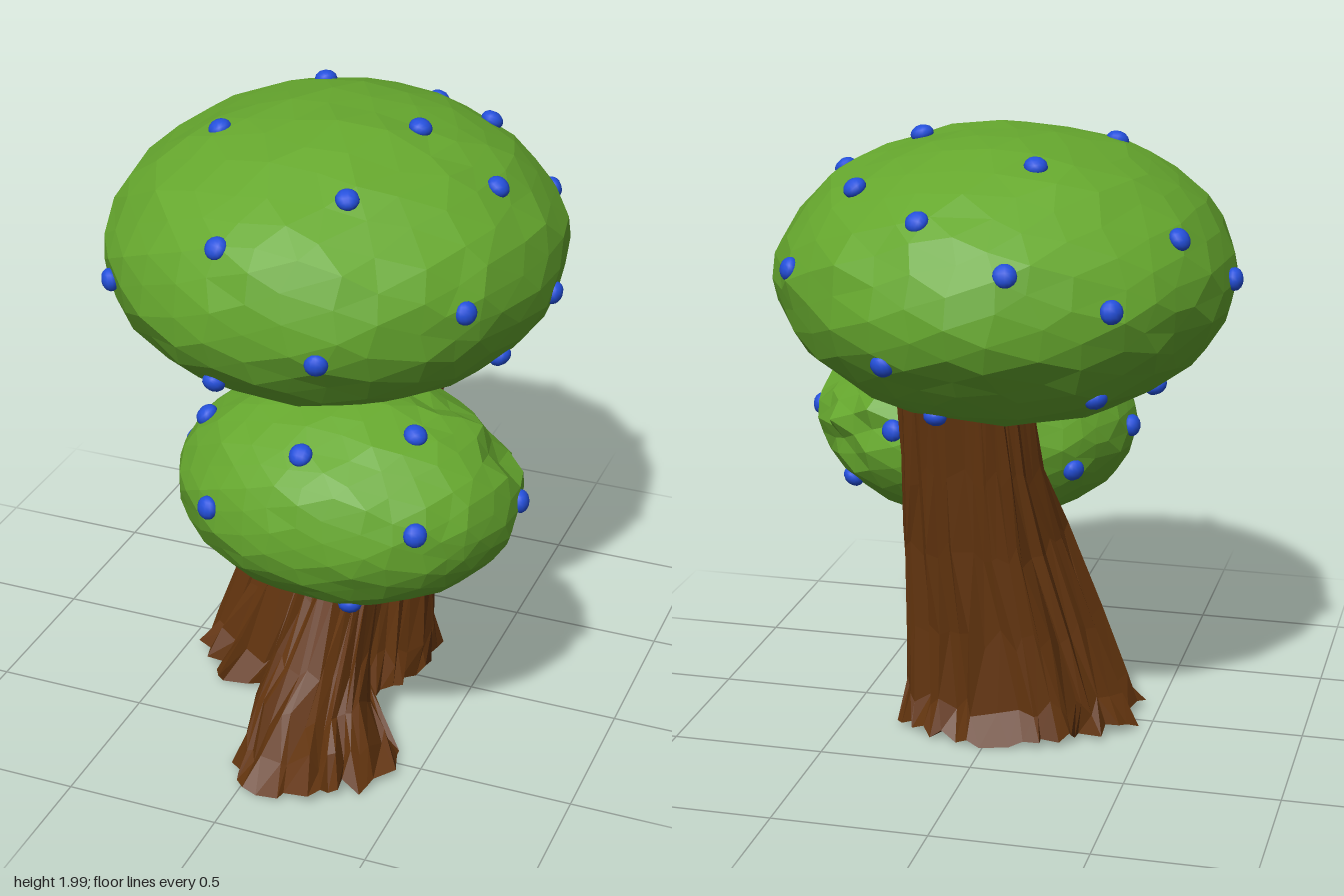
import * as THREE from 'three';

const leaf = new THREE.MeshStandardMaterial({ name: 'leafGreen', color: 0x66a82e, flatShading: true });
const bark = new THREE.MeshStandardMaterial({ name: 'barkBrown', color: 0x62340e, flatShading: true });
const berry = new THREE.MeshStandardMaterial({ name: 'berryBlue', color: 0x2450dc });

// Repeatable noise in -1..1
function hash(a, b, c = 0) {
  const s = Math.sin(a * 127.1 + b * 311.7 + c * 74.7) * 43758.5453;
  return (s - Math.floor(s)) * 2 - 1;
}

// Faceted, slightly lumpy ellipsoid of leaves; crumple(dir) adds extra roughness
function makeCanopy(name, center, radii, crumple) {
  const geo = new THREE.IcosahedronGeometry(1, 5);
  const pos = geo.attributes.position;
  const v = new THREE.Vector3();
  for (let i = 0; i < pos.count; i++) {
    v.fromBufferAttribute(pos, i).normalize();
    const q = [v.x, v.y, v.z].map((n) => Math.round(n * 500));
    const n = hash(q[0], q[1], q[2]);
    const scale = 1 + 0.016 * n + crumple(v) * (n - 0.6);
    v.x += 0.04 * hash(q[2], q[0], q[1]);
    v.z += 0.04 * hash(q[1], q[2], q[0]);
    v.normalize().multiplyScalar(scale).multiply(radii).add(center);
    pos.setXYZ(i, v.x, v.y, v.z);
  }
  geo.computeVertexNormals();
  const mesh = new THREE.Mesh(geo, leaf);
  mesh.name = name;
  return mesh;
}

// Berries pushed onto the surface of a canopy
function makeBerries(name, center, radii, spots) {
  const group = new THREE.Group();
  group.name = name;
  const geo = new THREE.SphereGeometry(1, 12, 8);
  for (const [x, y, z] of spots) {
    const d = new THREE.Vector3(x, y, z).sub(center).divide(radii).normalize().multiply(radii);
    const mesh = new THREE.Mesh(geo, berry);
    mesh.name = 'berry';
    mesh.position.copy(center).add(d);
    mesh.scale.set(0.037, 0.037, 0.028);
    mesh.lookAt(mesh.position.clone().add(d.divide(radii).divide(radii)));
    group.add(mesh);
  }
  return group;
}

// Grooved bark lofted through rings [y, xMin, xMax, zMin, zMax], ragged at the foot.
// Each bulge [angle, amount, fade] pushes one side out or in, fading with height.
function makeTrunk(name, rings, segs, groove, seed, bulges, hollow) {
  const verts = [];
  const index = [];
  const power = (n) => Math.sign(n) * Math.abs(n) ** 0.8;
  rings.forEach(([y, x0, x1, z0, z1], i) => {
    for (let j = 0; j < segs; j++) {
      const a = ((j + 0.35 * hash(j, seed)) / segs) * Math.PI * 2 + 0.04 * hash(i, j, seed);
      let k = 1.02 - groove * (0.5 + 0.5 * hash(j, seed, 3)) + 0.02 * hash(j, i, seed);
      for (const [angle, amount, fade] of bulges) {
        k += (amount * Math.exp(-(((a - angle) / 0.4) ** 2))) / (1 + fade * i);
      }
      if (i === 0) k += 0.08 * hash(j, seed, 5);
      const dy = i === 0 ? 0.02 * hash(j, seed, 9) : i < rings.length - 1 ? 0.04 * hash(j, i, 7) : 0;
      verts.push(
        (x0 + x1) / 2 + ((x1 - x0) / 2) * k * power(Math.cos(a)),
        y + dy,
        (z0 + z1) / 2 + ((z1 - z0) / 2) * k * power(Math.sin(a))
      );
    }
  });
  for (let i = 0; i < rings.length - 1; i++) {
    for (let j = 0; j < segs; j++) {
      const a = i * segs + j;
      const b = i * segs + ((j + 1) % segs);
      index.push(a, a + segs, b, b, a + segs, b + segs);
    }
  }
  // Hollowed underside
  const [, x0, x1, z0, z1] = rings[0];
  const o = verts.length / 3;
  verts.push((x0 + x1) / 2, hollow, (z0 + z1) / 2);
  for (let j = 0; j < segs; j++) index.push(o, j, (j + 1) % segs);

  const geo = new THREE.BufferGeometry();
  geo.setAttribute('position', new THREE.Float32BufferAttribute(verts, 3));
  geo.setIndex(index);
  geo.computeVertexNormals();
  const mesh = new THREE.Mesh(geo, bark);
  mesh.name = name;
  return mesh;
}

export function createModel() {
  const tree = new THREE.Group();
  tree.name = 'berryTree';

  // Main trunk and the leaning front limb
  tree.add(makeTrunk('mainTrunk', [
    [0.025, -0.46, 0.34, -0.35, 0.30],
    [0.12, -0.40, 0.33, -0.30, 0.25],
    [0.35, -0.31, 0.32, -0.29, 0.21],
    [0.65, -0.21, 0.32, -0.30, 0.17],
    [0.9, -0.15, 0.31, -0.31, 0.0],
    [1.18, -0.12, 0.31, -0.33, -0.08],
  ], 56, 0.13, 1, [[3.83, -0.16, 2], [0.8, -0.16, 0.2], [5.5, 0.06, 0.4]], 0.08));
  tree.add(makeTrunk('frontLimb', [
    [0.025, -0.07, 0.42, 0.34, 0.82],
    [0.1, -0.06, 0.37, 0.33, 0.75],
    [0.2, -0.05, 0.31, 0.31, 0.67],
    [0.34, -0.01, 0.29, 0.29, 0.58],
    [0.52, 0.03, 0.28, 0.22, 0.46],
    [0.6, 0.04, 0.28, 0.12, 0.43],
    [0.72, 0.05, 0.28, 0.03, 0.34],
  ], 36, 0.13, 2, [[2.1, 0.18, 1], [0.8, -0.18, 0.5], [5.5, 0.12, 2]], 0.07));

  // Upper canopy
  const topC = new THREE.Vector3(-0.02, 1.543, -0.08);
  const topR = new THREE.Vector3(0.73, 0.457, 0.775);
  tree.add(makeCanopy('upperCanopy', topC, topR, () => 0));
  tree.add(makeBerries('upperBerries', topC, topR, [
    [-0.59, 1.51, 0.42], [-0.13, 1.75, 0.55], [0.2, 1.47, 0.64], [0.55, 1.58, 0.36],
    [-0.17, 1.3, 0.56], [0.19, 1.88, 0.37], [-0.34, 1.95, 0.12], [0.26, 1.96, -0.06],
    [0.53, 1.83, 0], [0.69, 1.47, -0.09], [-0.75, 1.56, -0.1], [0.58, 1.29, 0.05],
    [-0.52, 1.2, -0.12], [-0.6, 1.73, -0.36], [-0.19, 1.95, -0.41], [0.1, 1.81, -0.67],
    [0.35, 1.85, -0.44], [-0.48, 1.58, -0.68], [-0.18, 1.69, -0.76], [0.54, 1.62, -0.54],
    [0.19, 1.4, -0.79], [0.53, 1.25, -0.22], [0.1, 1.17, -0.54], [-0.4, 1.28, -0.54],
  ]));

  // Lower canopy, crumpled on the side next to the trunk
  const lowC = new THREE.Vector3(0.19, 0.925, 0.35);
  const lowR = new THREE.Vector3(0.55, 0.345, 0.46);
  tree.add(makeCanopy('lowerCanopy', lowC, lowR, (d) => (d.x > 0.3 && d.z < -0.1 && d.y > -0.3 ? 0.04 : 0)));
  tree.add(makeBerries('lowerBerries', lowC, lowR, [
    [0.16, 1.18, 0.68], [0.48, 1.23, 0.5], [0.53, 0.99, 0.69], [0.74, 0.94, 0.3],
    [-0.12, 0.96, 0.72], [0.3, 0.69, 0.62], [-0.18, 0.74, 0.5], [-0.24, 1.12, 0.45],
    [-0.36, 0.94, 0.3], [0.58, 0.73, 0.16], [0.37, 0.98, -0.08], [-0.2, 0.85, 0.06],
  ]));

  return tree;
}
